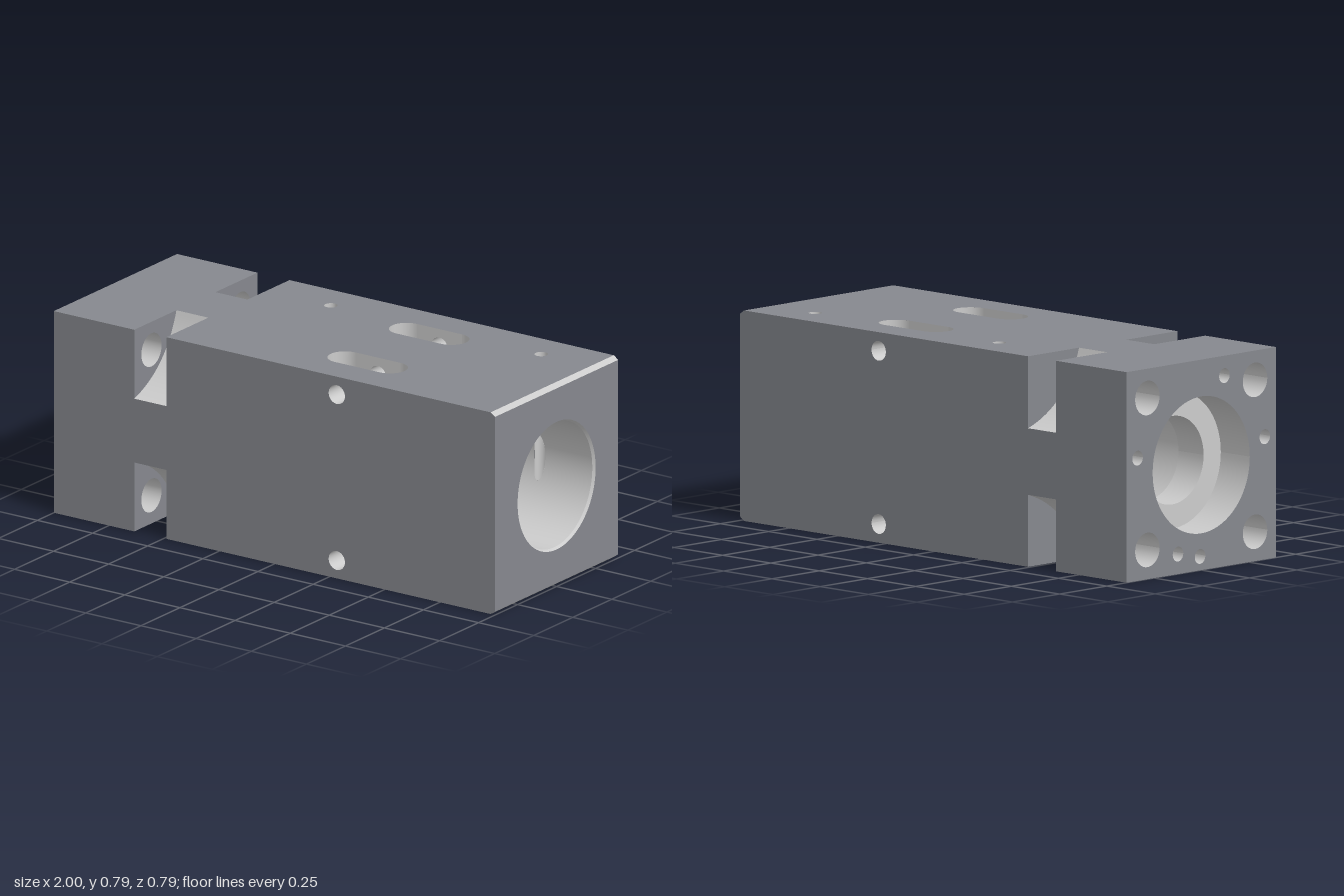
import * as THREE from 'three';

const H = 0.395;                                  // half height and half depth
const CH = { x: 0.98, y: 0.381 };                 // chamfer at the right end
const NOTCH = { x0: -0.635, x1: -0.49, edge: 0.125 };
const SLOT = { x: 0.283, z: 0.197, r: 0.066, half: 0.102 };
const PIN = { xs: [-0.2, 0.753], z: -0.25, r: 0.025 };
const CROSS = { y: 0.325, r: 0.037 };
const BOLT = { c: 0.285, r: 0.065 };
const BORE = { r: 0.243, mouth: 0.25, x0: -0.72, x1: 0.99 };
const LIP = { r: 0.166, x0: -0.85 };
const COUNTER = 0.257;
const SIGNS = [1, -1];

export function createModel() {
  const group = new THREE.Group();
  const body = new THREE.MeshStandardMaterial({ color: 0x86888e, side: THREE.DoubleSide });
  const cut = new THREE.MeshStandardMaterial({ color: 0xcccccc, side: THREE.DoubleSide });

  const add = (name, geometry, material) => {
    const mesh = new THREE.Mesh(geometry, material);
    mesh.name = name;
    group.add(mesh);
  };

  // Flat face: a 2D shape with holes, placed by map(u, v) -> [x, y, z]
  const panel = (name, points, holes, map, material = body) => {
    const shape = new THREE.Shape(points.map(p => new THREE.Vector2(...p)));
    shape.holes = holes.map(h => new THREE.Path(h.map(p => new THREE.Vector2(...p))));
    const g = new THREE.ShapeGeometry(shape);
    const pos = g.attributes.position;
    for (let i = 0; i < pos.count; i++) pos.setXYZ(i, ...map(pos.getX(i), pos.getY(i)));
    g.computeVertexNormals();
    add(name, g, material);
  };

  // Ruled wall between two matching lines of points
  const loft = (name, a, b, material = cut) => {
    const g = new THREE.BufferGeometry();
    const index = [];
    for (let i = 0; i < a.length - 1; i++) {
      const j = a.length + i;
      index.push(i, i + 1, j, i + 1, j + 1, j);
    }
    g.setAttribute('position', new THREE.Float32BufferAttribute([...a, ...b].flat(), 3));
    g.setIndex(index);
    g.computeVertexNormals();
    add(name, g, material);
  };

  const arc = (cu, cv, r, n = 32, from = 0, to = Math.PI * 2) =>
    Array.from({ length: n + 1 }, (_, i) => {
      const t = from + (to - from) * i / n;
      return [cu + r * Math.cos(t), cv + r * Math.sin(t)];
    });
  const circle = (cu, cv, r, n = 32) => arc(cu, cv, r, n).slice(0, -1);
  const rect = (u0, u1, v0, v1) => [[u0, v0], [u1, v0], [u1, v1], [u0, v1]];

  // Tube along x around (z, y)
  const tubeX = (name, z, y, x0, r0, x1, r1 = r0, n = 32) => loft(name,
    arc(z, y, r0, n).map(([u, v]) => [x0, v, u]),
    arc(z, y, r1, n).map(([u, v]) => [x1, v, u]));

  // Side outline with the two notches, seen along y or z
  const { x0: n0, x1: n1, edge } = NOTCH;
  const outline = right => [
    [-1, -H], [n0, -H], [n0, -edge], [n1, -edge], [n1, -H], ...right,
    [n1, H], [n1, edge], [n0, edge], [n0, H], [-1, H]];

  // Top and bottom faces with slots and pin holes
  const slotOutline = z => [
    ...arc(SLOT.x + SLOT.half, z, SLOT.r, 16, -Math.PI / 2, Math.PI / 2),
    ...arc(SLOT.x - SLOT.half, z, SLOT.r, 16, Math.PI / 2, Math.PI * 1.5)];
  for (const s of SIGNS) {
    panel(s > 0 ? 'topFace' : 'bottomFace', outline([[CH.x, -H], [CH.x, H]]),
      [slotOutline(SLOT.z), slotOutline(-SLOT.z), ...PIN.xs.map(x => circle(x, PIN.z, PIN.r))],
      (u, v) => [u, s * H, v]);
    loft('endChamfer', [[CH.x, s * H, -H], [CH.x, s * H, H]],
      [[1, s * CH.y, -H], [1, s * CH.y, H]]);
  }

  // Front and back faces with cross holes
  for (const s of SIGNS) {
    panel(s > 0 ? 'frontFace' : 'backFace',
      outline([[CH.x, -H], [1, -CH.y], [1, CH.y], [CH.x, H]]),
      SIGNS.map(t => circle(SLOT.x, t * CROSS.y, CROSS.r)),
      (u, v) => [u, v, s * H]);
  }

  // End faces
  panel('boreEndFace', rect(-H, H, -CH.y, CH.y), [circle(0, 0, BORE.mouth, 96)],
    (u, v) => [1, v, u]);
  const screws = [69, 11, 169, 249, 269].map(d => {
    const t = d * Math.PI / 180;
    return [0.343 * Math.cos(t), 0.343 * Math.sin(t)];
  });
  const bolts = SIGNS.flatMap(a => SIGNS.map(b => [a * BOLT.c, b * BOLT.c]));
  panel('flangeEndFace', rect(-H, H, -H, H), [
    circle(0, 0, COUNTER, 96),
    ...bolts.map(([z, y]) => circle(z, y, BOLT.r)),
    ...screws.map(([z, y]) => circle(z, y, 0.028))], (u, v) => [-1, v, u]);
  bolts.forEach(([z, y]) => tubeX('boltHole', z, y, -1, BOLT.r, n0));
  screws.forEach(([z, y]) => {
    tubeX('screwHole', z, y, -1, 0.028, -0.75);
    tubeX('screwHoleBottom', z, y, -0.75, 0.028, -0.75, 0.001);
  });

  // Corner notches with a hollowed floor
  const curve = new THREE.QuadraticBezierCurve(
    new THREE.Vector2(H, edge), new THREE.Vector2(0.19, 0.19), new THREE.Vector2(edge, H));
  const floor = curve.getPoints(24).map(p => [p.x, p.y]);
  for (const sz of SIGNS) for (const sy of SIGNS) {
    const at = x => (u, v) => [x, sy * v, sz * u];
    loft('notchFloor', floor.map(p => at(n0)(...p)), floor.map(p => at(n1)(...p)));
    panel('notchBoltWall', [...floor, [H, H]], [circle(BOLT.c, BOLT.c, BOLT.r)], at(n0));
    panel('notchPlainWall', [...floor, [H, H]], [], at(n1));
  }

  // Main bore, opened where the slots and pin holes break through
  const span = (d, r, extra) => Math.abs(d) < r ? extra + Math.sqrt(r * r - d * d) : 0;
  const rows = arc(0, 0, BORE.r, 720).map(([z, y]) => {
    const hs = span(Math.abs(z) - SLOT.z, SLOT.r, SLOT.half);
    const hp = span(z - PIN.z, PIN.r, 0);
    const [pa, pb] = PIN.xs;
    return [BORE.x0, pa - hp, pa + hp, SLOT.x - hs, SLOT.x + hs, pb - hp, pb + hp, BORE.x1]
      .map(x => [x, y, z]);
  });
  for (let k = 0; k < 8; k += 2) loft('bore', rows.map(r => r[k]), rows.map(r => r[k + 1]));

  // Bore mouth, inner lip and counterbore
  [['boreMouth', 1, BORE.mouth, BORE.x1, BORE.r],
    ['lipInnerFace', BORE.x0, BORE.r, BORE.x0, LIP.r],
    ['lipBore', BORE.x0, LIP.r, LIP.x0, LIP.r],
    ['lipOuterFace', LIP.x0, LIP.r, LIP.x0, COUNTER],
    ['counterbore', LIP.x0, COUNTER, -1, COUNTER],
  ].forEach(([name, x0, r0, x1, r1]) => tubeX(name, 0, 0, x0, r0, x1, r1, 96));

  // Vertical walls running from the outer face down to the bore
  const toBore = z => Math.sqrt(Math.max(0, BORE.r ** 2 - z * z));
  const drop = (name, pts, s) => loft(name,
    pts.map(([x, z]) => [x, s * H, z]), pts.map(([x, z]) => [x, s * toBore(z), z]));
  const inner = SLOT.z - SLOT.r, outer = SLOT.z + SLOT.r;
  const sx0 = SLOT.x - SLOT.half, sx1 = SLOT.x + SLOT.half;
  for (const s of SIGNS) {
    PIN.xs.forEach(x => drop('pinHole', arc(x, PIN.z, PIN.r), s));
    for (const sz of SIGNS) {
      drop('slotEnd', arc(sx1, sz * SLOT.z, SLOT.r, 24, -Math.PI / 2, Math.PI / 2), s);
      drop('slotEnd', arc(sx0, sz * SLOT.z, SLOT.r, 24, Math.PI / 2, Math.PI * 1.5), s);
      for (const z of [inner, outer]) {
        panel('slotSide', rect(sx0, sx1, toBore(z), H), [circle(SLOT.x, CROSS.y, CROSS.r)],
          (u, v) => [u, s * v, sz * z], cut);
      }
    }
    // Cross holes, interrupted by the slots
    const ring = z => arc(SLOT.x, s * CROSS.y, CROSS.r).map(([x, y]) => [x, y, z]);
    [[-H, -outer], [-inner, inner], [outer, H]].forEach(([a, b]) =>
      loft('crossHole', ring(a), ring(b)));
  }

  group.children.forEach(m => { m.position.y = H; });
  return group;
}
